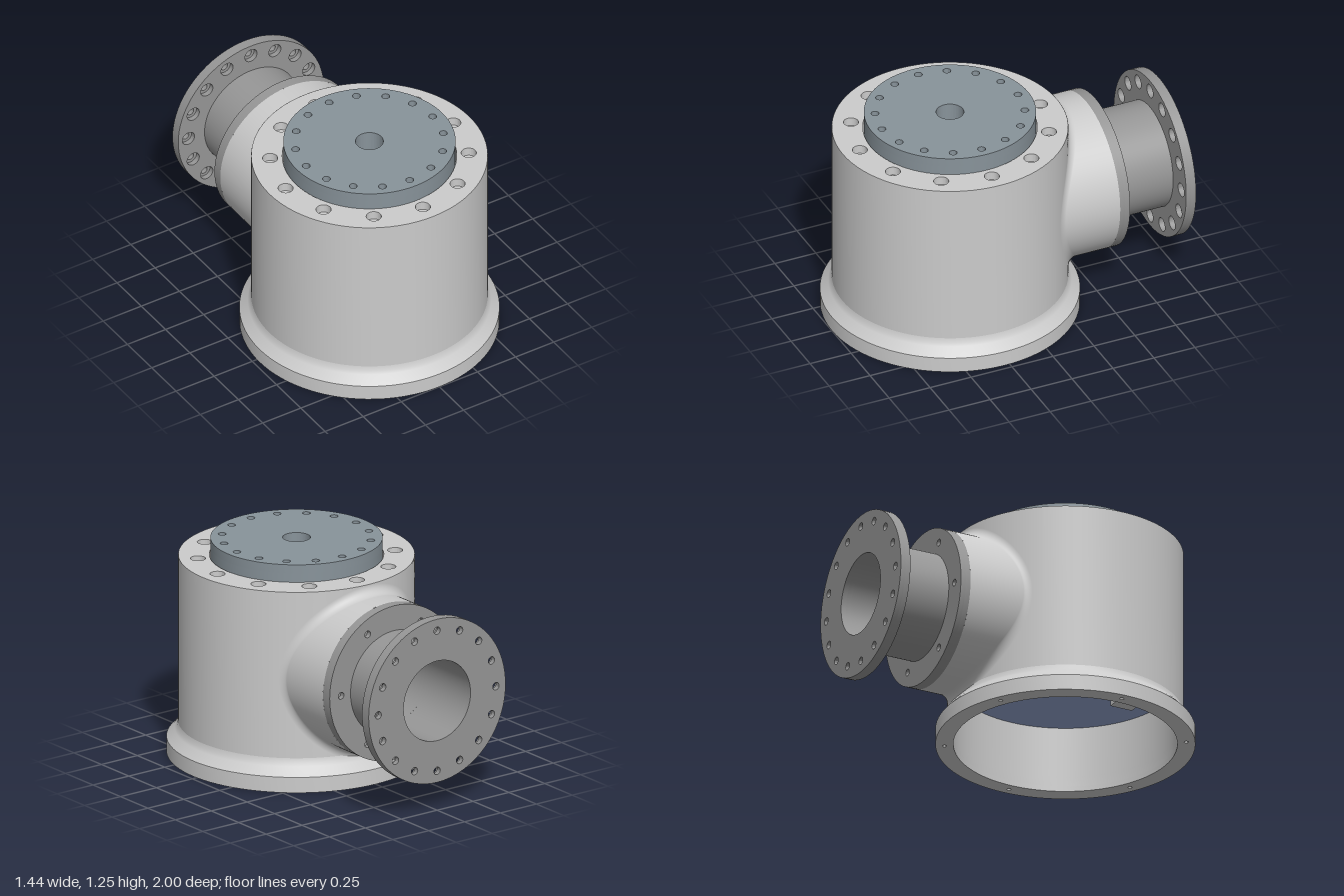
import * as THREE from 'three';
import { toCreasedNormals } from 'three/addons/utils/BufferGeometryUtils.js';
import { ParametricGeometry } from 'three/addons/geometries/ParametricGeometry.js';

const ZC = 0.28;      // housing axis
const AXIS = 0.64;    // height of the side port axis
const R_OUT = 0.655, R_IN = 0.62, COLLAR = 0.45, BORE = 0.233;

const material = (color) => new THREE.MeshStandardMaterial({ color, side: THREE.DoubleSide });

export function createModel() {
  const grey = material(0xcccccc);
  const darkGrey = material(0x969696);
  const steel = material(0x88939a);
  const blue = material(0x93a3cd);

  const model = new THREE.Group();
  const housing = new THREE.Group();
  housing.name = 'housing';
  housing.position.z = ZC;
  // local +y of the port points backwards
  const port = new THREE.Group();
  port.name = 'sidePort';
  port.position.y = AXIS;
  port.rotation.x = -Math.PI / 2;
  model.add(housing, port);

  const add = (parent, name, geometry, mat) => {
    const mesh = new THREE.Mesh(geometry, mat);
    mesh.name = name;
    parent.add(mesh);
    return mesh;
  };

  // Round plate from y0 to y1 with a centre hole and a circle of bolt holes
  const plate = (parent, name, mat, y0, y1, outer, inner, count = 0, circle = 0, hole = 0) => {
    const shape = new THREE.Shape().absarc(0, 0, outer, 0, Math.PI * 2);
    const punch = (x, y, r) => shape.holes.push(new THREE.Path().absarc(x, y, r, 0, Math.PI * 2, true));
    if (inner) punch(0, 0, inner);
    for (let i = 0; i < count; i++) {
      const a = (i / count) * Math.PI * 2;
      punch(circle * Math.cos(a), circle * Math.sin(a), hole);
    }
    const g = new THREE.ExtrudeGeometry(shape, { depth: y1 - y0, bevelEnabled: false, curveSegments: 40 });
    g.rotateX(-Math.PI / 2).translate(0, y0, 0);
    return add(parent, name, toCreasedNormals(g, 0.6), mat);
  };

  const lathe = (parent, name, mat, points, start = 0, length = Math.PI * 2) =>
    add(parent, name, toCreasedNormals(new THREE.LatheGeometry(
      points.map(([x, y]) => new THREE.Vector2(x, y)), 96, start, length), 0.6), mat);

  const surface = (name, mat, fn, u, v) => add(model, name, new ParametricGeometry(fn, u, v), mat);

  // Back of a cylinder around the housing axis
  const backZ = (r, x) => ZC - Math.sqrt(r * r - x * x);

  // Cylinder wall with a square patch at the back that carries a round hole
  const wall = (name, r, holeAt, half, y0, y1) => {
    const a = Math.asin(half / r);
    lathe(housing, name, grey, [[r, y0], [r, y1]], Math.PI + a, 2 * Math.PI - 2 * a);
    const bands = [[y0, AXIS - half], [AXIS + half, y1]];
    for (const [b0, b1] of bands) {
      if (b1 - b0 > 1e-4) lathe(housing, name + 'Band', grey, [[r, b0], [r, b1]], Math.PI - a, 2 * a);
    }
    surface(name + 'PortPatch', grey, (u, v, p) => {
      const t = u * Math.PI * 2, c = Math.cos(t), s = Math.sin(t);
      const edge = half / Math.max(Math.abs(c), Math.abs(s));
      const d = THREE.MathUtils.lerp(holeAt(t), edge, v);
      p.set(d * c, AXIS + d * s, backZ(r, d * c));
    }, 96, 8);
  };

  // Housing walls, outside and inside
  const fillet = (t) => 0.055 * (1 - 0.6 * Math.cos(t) ** 2);
  wall('outerWall', R_OUT, (t) => COLLAR + fillet(t), 0.51, 0.13, 1.15);
  wall('innerWall', R_IN, () => BORE, 0.38, 0, 1.05);

  // Flared foot with blind screw holes underneath
  lathe(housing, 'foot', grey, [[0.72, 0], [0.72, 0.09], [0.674, 0.138], [0.662, 0.154], [0.6555, 0.18]]);
  plate(housing, 'footRing', grey, 0, 0.03, 0.7195, R_IN, 6, 0.67, 0.012);
  plate(housing, 'footRingCore', grey, 0.03, 0.09, 0.7195, R_IN);

  // Top ring with counterbored bolt holes
  plate(housing, 'topRing', grey, 1.1, 1.15, 0.6545, 0.483, 12, 0.55, 0.042);
  plate(housing, 'topRingBoltSeat', grey, 1.07, 1.1, 0.6545, 0.483, 12, 0.55, 0.022);
  plate(housing, 'topRingCore', grey, 1.05, 1.07, 0.6545, 0.483);

  // Raised cap with blind holes and a through hole in the centre
  plate(housing, 'cap', steel, 1.2, 1.25, 0.477, 0.077, 16, 0.415, 0.022);
  plate(housing, 'capCore', steel, 1.05, 1.2, 0.477, 0.077);

  // Inner floor with a small block below it
  plate(housing, 'innerFloor', blue, 0.385, 0.4, R_IN, 0);
  const block = add(housing, 'floorBlock', new THREE.BoxGeometry(0.135, 0.05, 0.135), grey);
  block.position.set(0.01, 0.36, 0.39);

  // Fillet and collar leading from the housing to the cover
  surface('collarFillet', grey, (u, v, p) => {
    const t = u * Math.PI * 2, f = fillet(t), s = v * Math.PI / 2;
    const d = COLLAR + f * (1 - Math.sin(s));
    p.set(d * Math.cos(t), AXIS + d * Math.sin(t),
      backZ(R_OUT, d * Math.cos(t)) - f * (1 - Math.cos(s)));
  }, 96, 8);
  surface('collar', grey, (u, v, p) => {
    const t = u * Math.PI * 2, x = COLLAR * Math.cos(t);
    p.set(x, AXIS + COLLAR * Math.sin(t),
      THREE.MathUtils.lerp(backZ(R_OUT, x) - fillet(t), -0.55, v));
  }, 96, 4);

  // Bore from the flange into the housing
  surface('bore', darkGrey, (u, v, p) => {
    const t = u * Math.PI * 2, x = BORE * Math.cos(t);
    p.set(x, AXIS + BORE * Math.sin(t), THREE.MathUtils.lerp(backZ(R_IN, x), -1, v));
  }, 96, 4);

  // Cover, pipe and end flange
  plate(port, 'coverCore', darkGrey, 0.55, 0.58, COLLAR, BORE);
  plate(port, 'cover', darkGrey, 0.58, 0.61, COLLAR, BORE, 6, 0.37, 0.02);
  lathe(port, 'pipe', darkGrey, [[0.305, 0.61], [0.305, 0.94]]);
  plate(port, 'flangeBoltSeats', darkGrey, 0.94, 0.97, 0.477, BORE, 16, 0.41, 0.04);
  plate(port, 'flange', darkGrey, 0.97, 1, 0.477, BORE, 16, 0.41, 0.022);

  return model;
}
